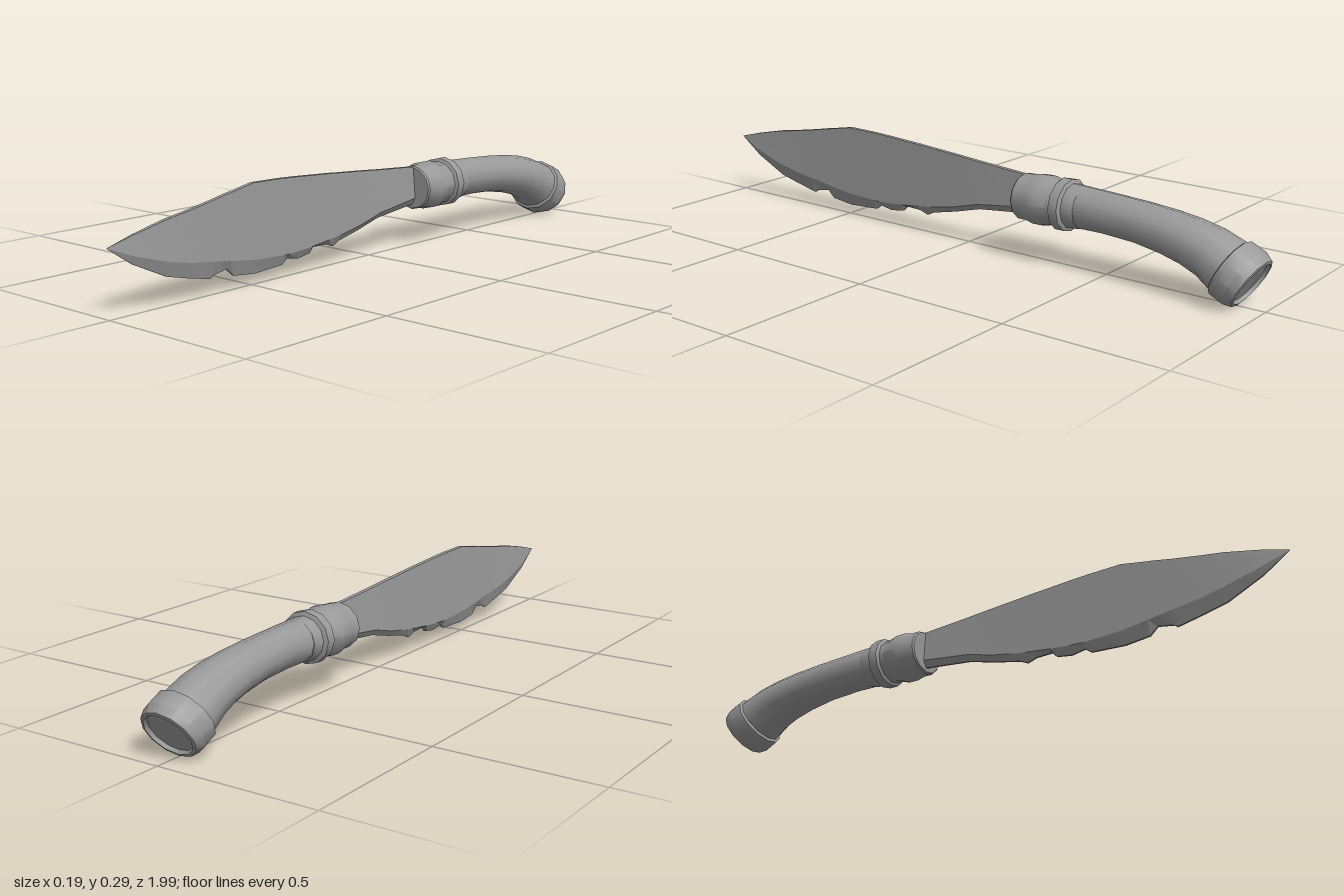
import * as THREE from 'three';
import { toCreasedNormals } from 'three/addons/utils/BufferGeometryUtils.js';

// Skin a list of rings (counter-clockwise seen from +z, running towards -z) and cap both ends.
function loft(rings, crease) {
  const n = rings[0].length, pos = [], index = [];
  rings.forEach(r => r.forEach(p => pos.push(...p)));
  for (let k = 0; k < rings.length - 1; k++) {
    for (let i = 0; i < n; i++) {
      const a = k * n + i, b = k * n + (i + 1) % n;
      index.push(a, a + n, b, b, a + n, b + n);
    }
  }
  const last = (rings.length - 1) * n;
  for (let i = 1; i < n - 1; i++) {
    index.push(0, i, i + 1, last, last + i + 1, last + i);
  }
  const g = new THREE.BufferGeometry();
  g.setAttribute('position', new THREE.Float32BufferAttribute(pos, 3));
  g.setIndex(index);
  return toCreasedNormals(g, crease);
}

// Twelve-sided oval ring centred at (z, y), tilted down towards the back.
function ovalRing([z, y, tilt, rx, ry]) {
  return Array.from({ length: 12 }, (_, i) => {
    const a = Math.PI / 2 + i * Math.PI / 6, h = ry * Math.sin(a);
    return [rx * Math.cos(a), y + h * Math.cos(tilt), z - h * Math.sin(tilt)];
  });
}

export function createModel() {
  const group = new THREE.Group();
  const grey = new THREE.MeshStandardMaterial({ color: 0x999999 });
  grey.name = 'grey';
  const add = (name, geometry) => {
    const mesh = new THREE.Mesh(geometry, grey);
    mesh.name = name;
    group.add(mesh);
  };

  // Blade stations: z, spine height, bevel height, edge height
  const stations = [
    [1, 0.201, 0.2, 0.199], [0.92, 0.222, 0.168, 0.145], [0.81, 0.246, 0.135, 0.093],
    [0.74, 0.257, 0.12, 0.076], [0.655, 0.272, 0.108, 0.058], [0.645, 0.274, 0.107, 0.066],
    [0.595, 0.284, 0.1, 0.075], [0.57, 0.288, 0.096, 0.052], [0.49, 0.303, 0.085, 0.043],
    [0.38, 0.301, 0.08, 0.049], [0.36, 0.3, 0.08, 0.064], [0.315, 0.298, 0.082, 0.056],
    [0.265, 0.295, 0.086, 0.064], [0.25, 0.294, 0.088, 0.08], [0.195, 0.291, 0.094, 0.078],
    [0.165, 0.289, 0.098, 0.068], [0.14, 0.287, 0.101, 0.08], [0.05, 0.281, 0.118, 0.1],
    [-0.04, 0.274, 0.142, 0.124], [-0.22, 0.262, 0.166, 0.144],
  ];
  add('blade', loft(stations.map(([z, top, bevel, edge]) => {
    const t = Math.min(1, (1.002 - z) / 0.12);
    const w = 0.007 * t, b = 0.016 * t, e = 0.003 * t;
    return [[w, top, z], [-w, top, z], [-b, bevel, z], [-e, edge, z], [e, edge, z], [b, bevel, z]];
  }), 0.2));

  // Ribbed collar: z, rx, ry
  add('collar', loft([
    [-0.205, 0.07, 0.066], [-0.21, 0.074, 0.07], [-0.24, 0.074, 0.07], [-0.265, 0.08, 0.076],
    [-0.295, 0.08, 0.076], [-0.325, 0.071, 0.068], [-0.34, 0.071, 0.068], [-0.345, 0.081, 0.078],
    [-0.375, 0.081, 0.078], [-0.38, 0.068, 0.066], [-0.42, 0.066, 0.064],
  ].map(([z, rx, ry]) => ovalRing([z, 0.196, 0, rx, ry])), 0.6));

  // Curved grip: z, y, tilt, rx, ry
  add('grip', loft([
    [-0.38, 0.198, 0, 0.065, 0.064], [-0.5, 0.196, 0.03, 0.063, 0.061],
    [-0.61, 0.19, 0.1, 0.066, 0.061], [-0.7, 0.179, 0.17, 0.072, 0.064],
    [-0.77, 0.165, 0.24, 0.077, 0.068], [-0.83, 0.146, 0.34, 0.082, 0.073],
    [-0.875, 0.122, 0.45, 0.086, 0.079], [-0.91, 0.105, 0.48, 0.087, 0.082],
  ].map(ovalRing), 0.6));

  // Flared pommel with a shallow dished end
  add('pommel', loft([
    [-0.885, 0.117, 0.48, 0.085, 0.08], [-0.889, 0.115, 0.48, 0.095, 0.089],
    [-0.932, 0.094, 0.5, 0.095, 0.09], [-0.955, 0.082, 0.52, 0.086, 0.08],
    [-0.957, 0.081, 0.52, 0.077, 0.071], [-0.947, 0.086, 0.52, 0.072, 0.066],
  ].map(ovalRing), 0.6));

  return group;
}
